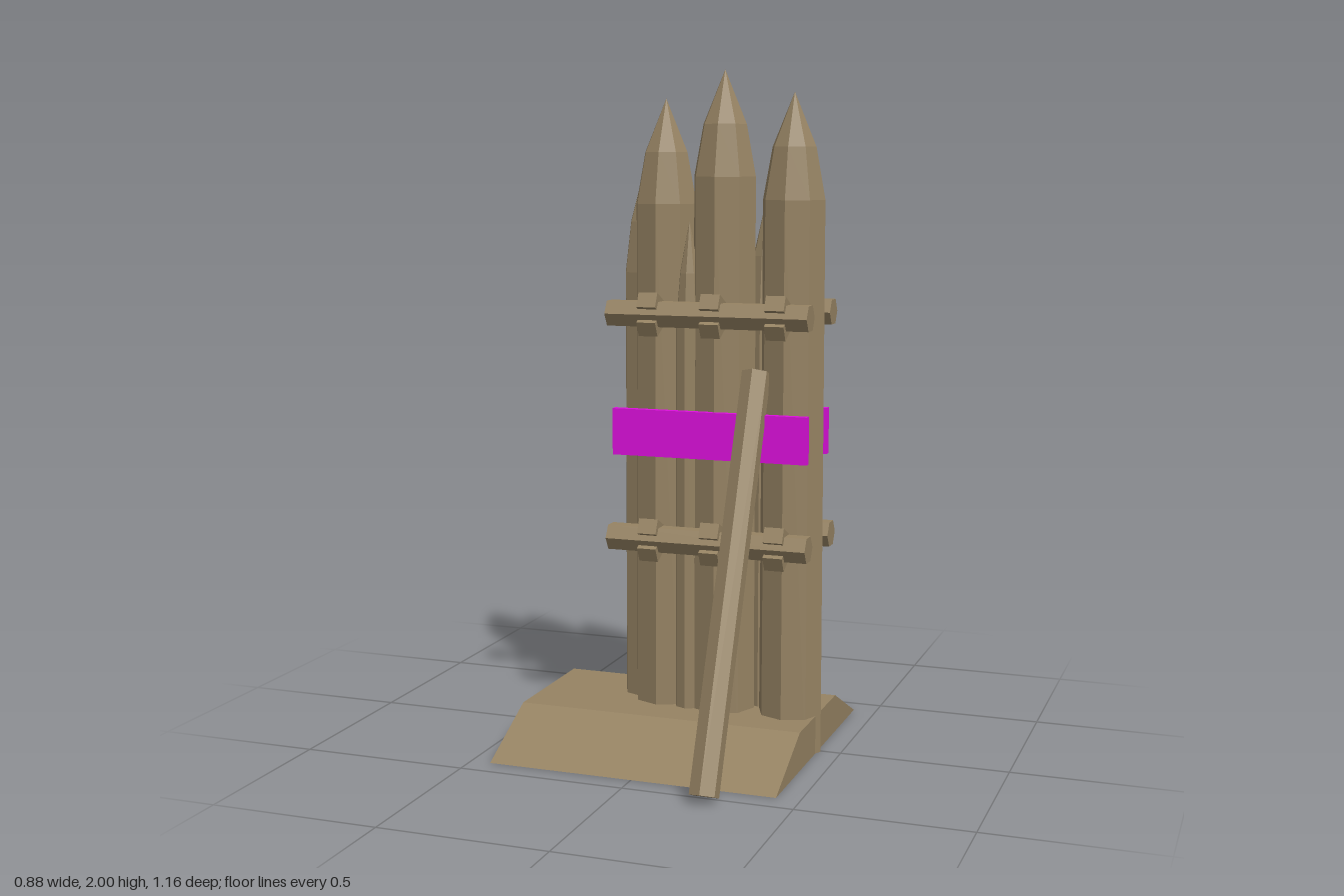
import * as THREE from 'three';

const wood = new THREE.MeshStandardMaterial({ color: 0x968363, flatShading: true });
wood.name = 'wood';
const magenta = new THREE.MeshStandardMaterial({ color: 0xdd10dd, flatShading: true });
magenta.name = 'magenta';

export function createModel() {
  const group = new THREE.Group();
  group.name = 'palisade';

  const add = (name, geometry, material, x = 0, y = 0, z = 0) => {
    const mesh = new THREE.Mesh(geometry, material);
    mesh.name = name;
    mesh.position.set(x, y, z);
    group.add(mesh);
    return mesh;
  };

  // Earth bank: a trapezoid swept along x
  const bank = new THREE.Shape();
  bank.moveTo(-0.43, 0);
  bank.lineTo(0.43, 0);
  bank.lineTo(0.195, 0.115);
  bank.lineTo(-0.195, 0.115);
  const bankGeometry = new THREE.ExtrudeGeometry(bank, { depth: 0.87, bevelEnabled: false });
  bankGeometry.rotateY(Math.PI / 2);
  add('base', bankGeometry, wood, -0.44, 0, 0);

  // Sharpened eight-sided posts: x, z, radius, tip height
  const posts = [
    [-0.054, -0.016, 0.094, 1.92],
    [0.136, 0.009, 0.094, 2.0],
    [0.344, 0.006, 0.093, 1.935],
    [-0.138, -0.053, 0.06, 1.715],
    [0.24, -0.055, 0.05, 1.62],
    [0.04, 0.045, 0.042, 1.57],
  ];
  for (const [x, z, r, top] of posts) {
    const profile = [
      [0, 0], [r * 1.03, 0], [r, top - 0.305], [r * 0.7, top - 0.155], [0, top],
    ].map(([px, py]) => new THREE.Vector2(px, py));
    add('post', new THREE.LatheGeometry(profile, 8), wood, x, 0, z);
  }

  // Hexagonal rails and tilted pegs on both faces
  const railGeometry = new THREE.CylinderGeometry(0.042, 0.042, 0.61, 6);
  railGeometry.rotateZ(Math.PI / 2);
  const pegGeometry = new THREE.BoxGeometry(0.058, 0.046, 0.09);
  for (const y of [1.3, 0.635]) {
    for (const side of [1, -1]) {
      add('rail', railGeometry, wood, 0.125, y, side * 0.124);
      const spread = side > 0 ? 0.023 : 0.108;
      const pegZ = side > 0 ? 0.12 : -0.124;
      for (const x of [-0.05, 0.14, 0.335]) {
        for (const up of [1, -1]) {
          const peg = add('peg', pegGeometry, wood, x, y + up * spread, pegZ);
          peg.rotation.x = -side * up * 0.46;
        }
      }
    }
  }

  // Coloured boards
  for (const side of [1, -1]) {
    add('board', new THREE.BoxGeometry(0.595, 0.138, 0.022), magenta, 0.123, 0.948, side * 0.108);
  }

  // Leaning hexagonal braces
  for (const [x, side] of [[0.257, 1], [-0.126, -1]]) {
    const foot = new THREE.Vector3(x, 0.02, side * 0.538);
    const head = new THREE.Vector3(x, 1.135, side * 0.08);
    const run = head.clone().sub(foot);
    const mid = foot.clone().add(head).multiplyScalar(0.5);
    const brace = add('brace', new THREE.CylinderGeometry(0.043, 0.043, run.length(), 6), wood, mid.x, mid.y, mid.z);
    brace.rotation.x = Math.atan2(run.z, run.y);
  }

  return group;
}
